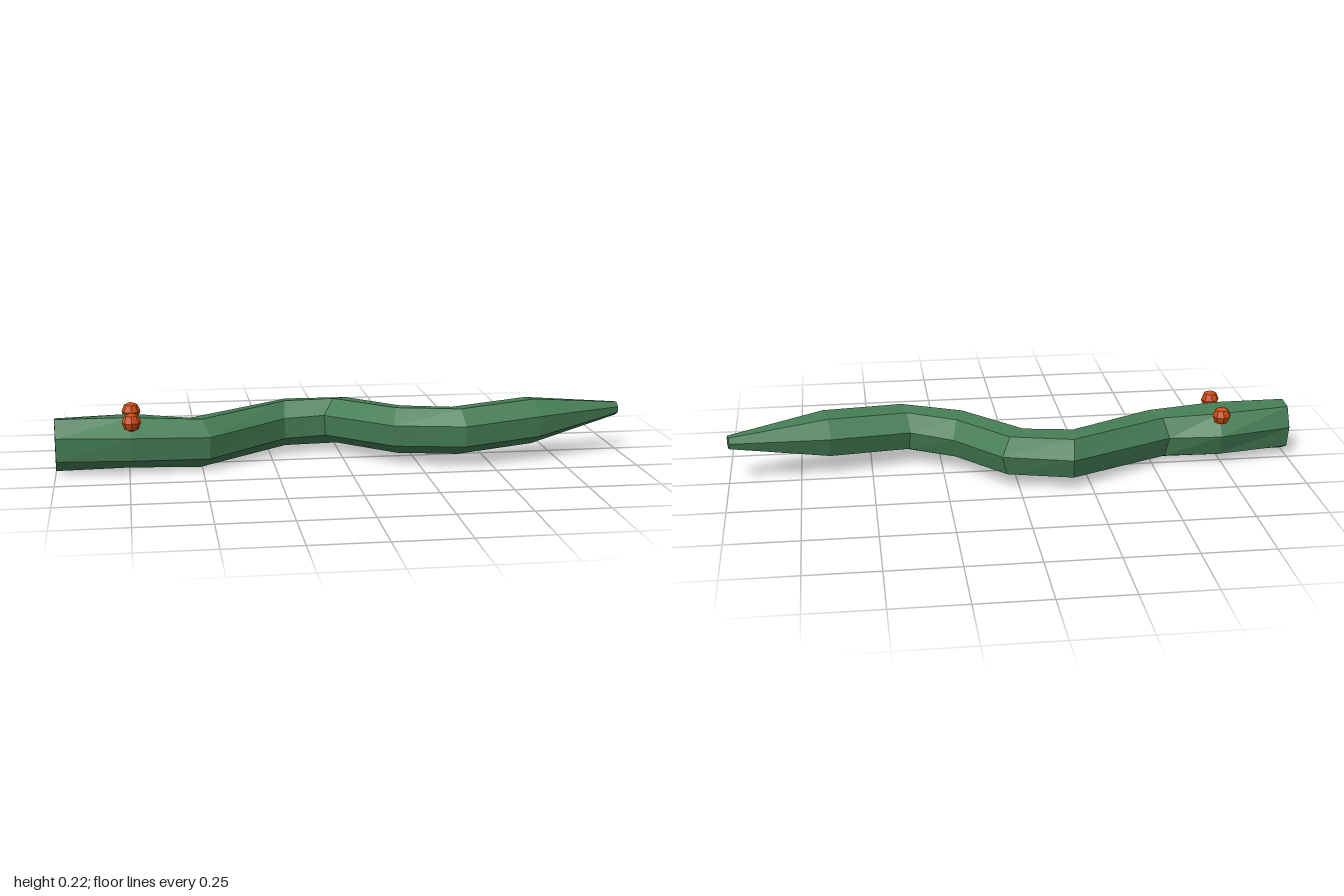
import * as THREE from 'three';

const SIDES = 7;
const ROLL = THREE.MathUtils.degToRad(19.6);

// Rings from head to tail: x, y, z of the centre, half width, half height
const RINGS = [
  [-1, 0.103, 0.065, 0.067, 0.095],
  [-0.74, 0.103, 0.05, 0.113, 0.094],
  [-0.515, 0.091, 0.053, 0.086, 0.09],
  [-0.19, 0.108, -0.143, 0.086, 0.087],
  [0.0, 0.115, -0.121, 0.086, 0.086],
  [0.185, 0.118, 0.07, 0.086, 0.086],
  [0.38, 0.125, 0.146, 0.086, 0.085],
  [0.66, 0.138, 0.081, 0.086, 0.085],
  [0.995, 0.153, 0.003, 0.024, 0.025],
];

// One heptagonal cross-section, turned to face along the segment that follows it
function ringPoints(i) {
  const [x, y, z, w, h] = RINGS[i];
  const k = Math.min(i, RINGS.length - 2);
  const tx = RINGS[k + 1][0] - RINGS[k][0];
  const tz = RINGS[k + 1][2] - RINGS[k][2];
  const len = Math.hypot(tx, tz);
  return Array.from({ length: SIDES }, (_, j) => {
    const a = ROLL + (j / SIDES) * Math.PI * 2;
    const s = Math.sin(a) * w;
    return [x - (tz / len) * s, y + Math.cos(a) * h, z + (tx / len) * s];
  });
}

function bodyGeometry() {
  const rings = RINGS.map((_, i) => ringPoints(i));
  const positions = [];
  const tri = (...corners) => corners.forEach((c) => positions.push(...c));

  // Skin between neighbouring rings
  for (let i = 0; i < rings.length - 1; i++) {
    for (let j = 0; j < SIDES; j++) {
      const n = (j + 1) % SIDES;
      tri(rings[i][j], rings[i][n], rings[i + 1][j]);
      tri(rings[i][n], rings[i + 1][n], rings[i + 1][j]);
    }
  }
  // Flat ends of the snout and the tail
  const head = rings[0];
  const tail = rings[rings.length - 1];
  for (let j = 1; j < SIDES - 1; j++) {
    tri(head[0], head[j + 1], head[j]);
    tri(tail[0], tail[j], tail[j + 1]);
  }

  const geometry = new THREE.BufferGeometry();
  geometry.setAttribute('position', new THREE.Float32BufferAttribute(positions, 3));
  geometry.computeVertexNormals();
  return geometry;
}

export function createModel() {
  const group = new THREE.Group();
  group.name = 'snake';

  const skin = new THREE.MeshStandardMaterial({ color: 0x457d55, flatShading: true });
  const eyeMaterial = new THREE.MeshStandardMaterial({ color: 0xcc4a10, flatShading: true });

  // Winding body with head and tail
  const body = new THREE.Mesh(bodyGeometry(), skin);
  body.name = 'body';
  group.add(body);

  // Eyes on either side of the head
  const eyeGeometry = new THREE.SphereGeometry(0.033, 8, 4);
  for (const side of [-1, 1]) {
    const eye = new THREE.Mesh(eyeGeometry, eyeMaterial);
    eye.name = side < 0 ? 'eyeBack' : 'eyeFront';
    eye.position.set(-0.74, 0.186, 0.05 + side * 0.087);
    group.add(eye);
  }

  return group;
}
